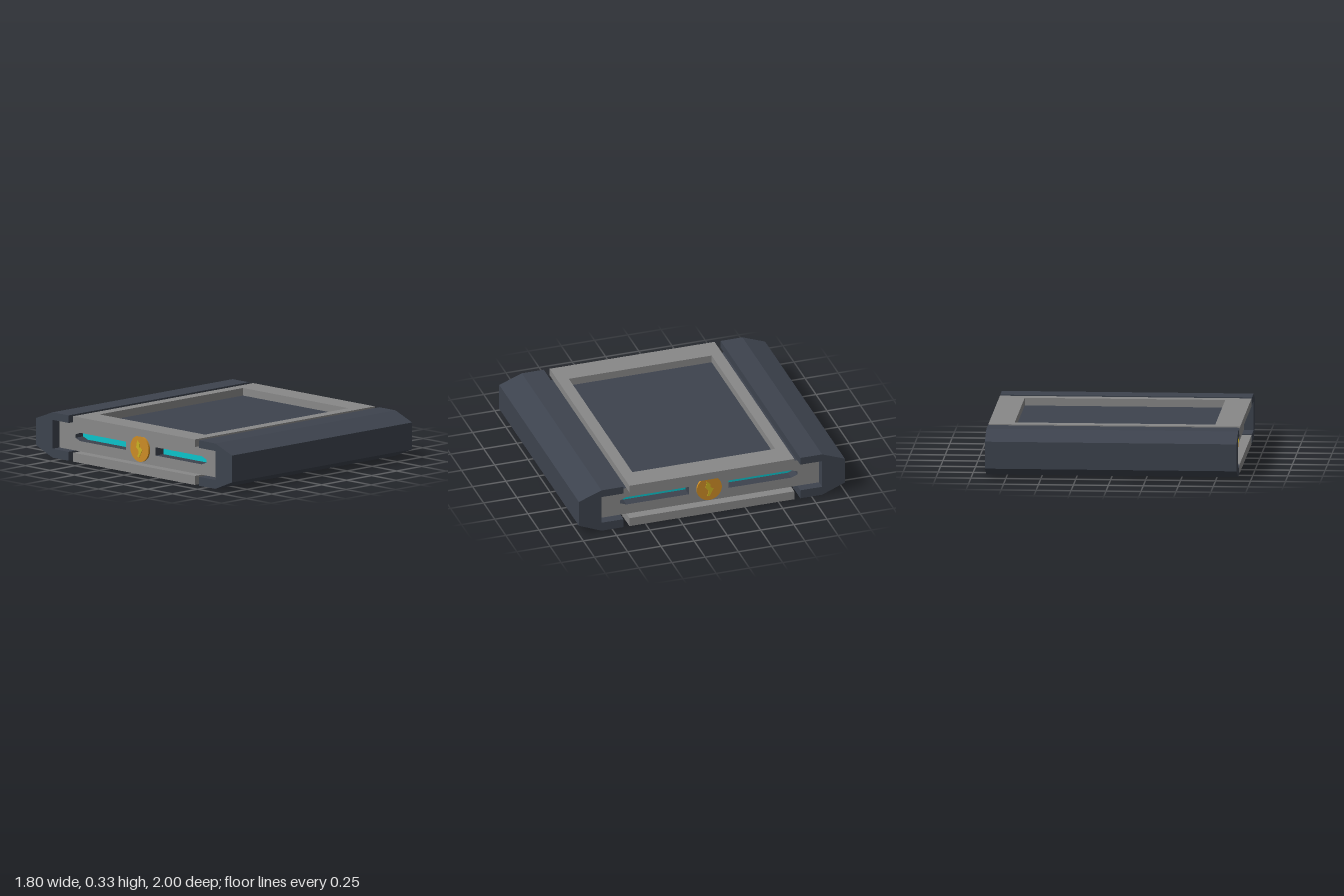
import * as THREE from 'three';

const mat = (name, color) => new THREE.MeshStandardMaterial({ name, color });

export function createModel() {
  const slate = mat('slate', 0x3d434e);
  const grey = mat('grey', 0x888888);
  const cyan = mat('cyan', 0x0cc3cb);
  const orange = mat('orange', 0xcc8c26);
  const yellow = mat('yellow', 0xccb322);

  const W = 0.9, H = 0.33, CORE_X = 0.83, LOW = 0.065, HIGH = 0.275, MID = 0.17;
  const SLOT_DEPTH = 0.08;
  const model = new THREE.Group();
  model.name = 'panelModule';

  const add = (parent, name, geometry, material, x = 0, y = 0, z = 0) => {
    const mesh = new THREE.Mesh(geometry, material);
    mesh.name = name;
    mesh.position.set(x, y, z);
    parent.add(mesh);
    return mesh;
  };
  const points = (list) => list.map(([x, y]) => new THREE.Vector2(x, y));
  const rect = (x, y0, y1) => points([[-x, y0], [x, y0], [x, y1], [-x, y1]]);
  const extrude = (shape, depth) =>
    new THREE.ExtrudeGeometry(shape, { depth, bevelEnabled: false });
  // Extrude a side profile along +x; the profile's first axis becomes -z
  const extrudeX = (shape, depth) => extrude(shape, depth).rotateY(Math.PI / 2);

  // Inner core between the two side plates
  add(model, 'core', new THREE.BoxGeometry(2 * (CORE_X - SLOT_DEPTH), HIGH - LOW, 1.66),
    slate, 0, MID, 0);

  // Bottom plate and open top frame
  add(model, 'bottomPlate', new THREE.BoxGeometry(2 * W, LOW, 1.24), grey, 0, LOW / 2, 0);
  const frame = new THREE.Shape(rect(W, -0.62, 0.62));
  frame.holes.push(new THREE.Path(rect(0.717, -0.537, 0.537)));
  add(model, 'topFrame', extrude(frame, H - HIGH).rotateX(-Math.PI / 2), grey, 0, HIGH, 0);

  // Slot outline with a tapered outer end
  const slotPoints = (s) => points([
    [s * 0.15, 0.14], [s * 0.62, 0.14], [s * 0.667, 0.158],
    [s * 0.667, 0.182], [s * 0.62, 0.2], [s * 0.15, 0.2],
  ]);

  // Chamfered end cap, a channel that clasps the core
  const capShape = new THREE.Shape(points([
    [0.665, 0], [0.83, 0], [1, 0.07], [1, 0.265], [0.83, H], [0.665, H],
    [0.665, HIGH], [0.83, HIGH], [0.83, LOW], [0.665, LOW],
  ]));
  const capGeometry = extrudeX(capShape, 2 * W).translate(-W, 0, 0);

  const plateShape = new THREE.Shape(rect(0.83, LOW, HIGH));
  for (const s of [-1, 1]) plateShape.holes.push(new THREE.Path(slotPoints(s)));
  const plateGeometry = extrudeX(plateShape, SLOT_DEPTH);

  // Small zigzag mark on the badge
  const boltShape = new THREE.Shape(points([
    [-0.02, 0.06], [-0.03, 0.01], [-0.006, -0.015], [-0.006, -0.035], [-0.02, -0.055],
    [0, -0.062], [0.03, -0.005], [0.006, 0.012], [0.006, 0.035],
  ]));

  // Each half repeats after a half turn
  for (const [i, label] of ['left', 'right'].entries()) {
    const side = new THREE.Group();
    side.name = label + 'Side';
    side.rotation.y = i * Math.PI;
    model.add(side);
    add(side, 'sidePlate', plateGeometry, [grey, slate], CORE_X - SLOT_DEPTH, 0, 0);
    for (const s of [-1, 1]) {
      add(side, 'slotLight', extrudeX(new THREE.Shape(slotPoints(s)), 0.004),
        cyan, CORE_X - SLOT_DEPTH, 0, 0);
    }
    add(side, 'badge', new THREE.CylinderGeometry(0.094, 0.094, 0.02, 32).rotateZ(-Math.PI / 2),
      orange, CORE_X + 0.005, MID, 0);
    add(side, 'badgeMark', extrudeX(boltShape, 0.005), yellow, CORE_X + 0.014, MID, 0);

    const cap = add(model, i ? 'frontCap' : 'backCap', capGeometry, slate);
    cap.rotation.y = i * Math.PI;
  }
  return model;
}
